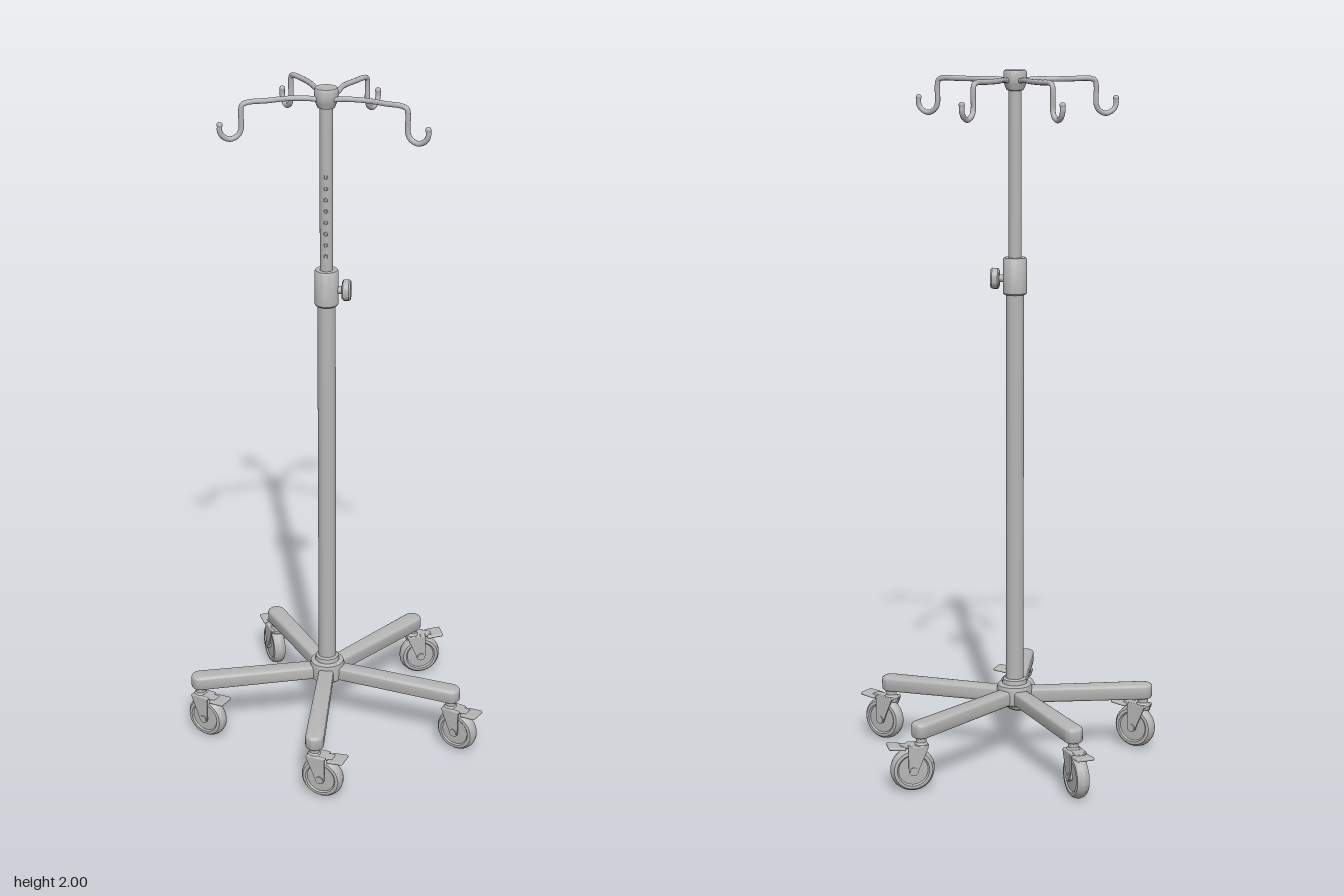
import * as THREE from 'three';
import { toCreasedNormals } from 'three/addons/utils/BufferGeometryUtils.js';
import { RoundedBoxGeometry } from 'three/addons/geometries/RoundedBoxGeometry.js';

const grey = new THREE.MeshStandardMaterial({ color: 0xb6b6b6 });
grey.name = 'satin grey';

const CX = -0.027, CZ = -0.025; // pole axis

function add(parent, name, geometry, x = 0, y = 0, z = 0) {
  const mesh = new THREE.Mesh(geometry, grey);
  mesh.name = name;
  mesh.position.set(x, y, z);
  parent.add(mesh);
  return mesh;
}

// Turned part with crisp edges from [radius, height] pairs
function turned(points, segments = 32) {
  const profile = points.map(([r, y]) => new THREE.Vector2(r, y));
  return toCreasedNormals(new THREE.LatheGeometry(profile, segments), 0.6);
}

// Tapering base leg along +x with a rounded end, dipping slightly outwards
function legGeometry(length) {
  const bevel = 0.01, a = 0.022 - bevel, b = 0.027 - bevel;
  const shape = new THREE.Shape();
  shape.moveTo(0, -a);
  shape.lineTo(length, -b);
  shape.absarc(length, 0, b, -Math.PI / 2, Math.PI / 2, false);
  shape.lineTo(0, a);
  shape.closePath();
  const g = new THREE.ExtrudeGeometry(shape, {
    depth: 0.025, bevelThickness: bevel, bevelSize: bevel, bevelSegments: 4, curveSegments: 16,
  });
  g.rotateX(-Math.PI / 2);
  const p = g.attributes.position;
  for (let i = 0; i < p.count; i++) {
    const t = p.getX(i) / length;
    p.setY(i, p.getY(i) + 0.172 - 0.007 * t);
  }
  return toCreasedNormals(g, 0.7);
}

// Swivel caster: pin at the origin, wheel and brake pedal trailing towards +x
function caster() {
  const group = new THREE.Group();
  group.name = 'caster';
  const wx = 0.025, wy = 0.064;

  const tyre = turned([
    [0.008, -0.015], [0.042, -0.015], [0.046, -0.019], [0.055, -0.018], [0.061, -0.011],
    [0.0635, 0], [0.061, 0.011], [0.055, 0.018], [0.046, 0.019], [0.042, 0.015], [0.008, 0.015],
  ]);
  add(group, 'wheel', tyre, wx, wy).rotation.x = Math.PI / 2;
  add(group, 'axle', new THREE.CylinderGeometry(0.011, 0.011, 0.056, 16), wx, wy).rotation.x = Math.PI / 2;
  add(group, 'swivelStem', turned([[0, 0.12], [0.02, 0.12], [0.022, 0.132], [0.015, 0.142], [0.015, 0.17]], 20));

  // Fork cheeks tapering from the swivel to the axle
  const cheek = new THREE.Shape();
  cheek.moveTo(-0.018, 0.132);
  cheek.lineTo(0.04, 0.132);
  cheek.lineTo(wx + 0.014, wy);
  cheek.absarc(wx, wy, 0.014, 0, -Math.PI, true);
  cheek.closePath();
  for (const z of [-0.025, 0.021]) {
    add(group, 'forkCheek', new THREE.ExtrudeGeometry(cheek, { depth: 0.004, bevelEnabled: false }), 0, 0, z);
  }
  add(group, 'forkCrown', new RoundedBoxGeometry(0.058, 0.008, 0.05, 2, 0.003), 0.011, 0.132);

  // Brake pedal
  add(group, 'pedalArm', new RoundedBoxGeometry(0.05, 0.01, 0.028, 2, 0.003), 0.035, 0.132);
  add(group, 'brakePedal', new RoundedBoxGeometry(0.05, 0.009, 0.052, 2, 0.004), 0.071, 0.131).rotation.z = 0.1;
  return group;
}

// Bent wire arm ending in a J-shaped hook; plan points are [x, z]
function hookGeometry(plan, drop, tip) {
  const top = 1.974;
  const pts = plan.map(([x, z], i) => new THREE.Vector3(x, i ? top : 1.968, z));
  const at = (t, y) => pts.push(new THREE.Vector3(
    drop[0] + (tip[0] - drop[0]) * t, y, drop[1] + (tip[1] - drop[1]) * t));
  const hook = [[-0.3, top], [-0.06, 1.968], [0, 1.95], [0, 1.902], [0.15, 1.885],
    [0.5, 1.876], [0.85, 1.885], [1, 1.9], [1, 1.918]];
  hook.forEach(([t, y]) => at(t, y));
  const curve = new THREE.CatmullRomCurve3(pts, false, 'centripetal');
  return { tube: new THREE.TubeGeometry(curve, 90, 0.0075, 10), end: pts[pts.length - 1] };
}

export function createModel() {
  const model = new THREE.Group();
  model.name = 'wheeledDripStand';

  // Base: [leg end x, z, caster heading x, z]
  const legs = [
    [-0.028, 0.368, 0.94, 0.3],
    [0.352, 0.078, 0.88, 0.47],
    [0.212, -0.342, 0.95, -0.28],
    [-0.217, -0.348, -0.42, -0.9],
    [-0.402, 0.066, 0.88, 0.47],
  ];
  for (const [x, z, hx, hz] of legs) {
    const dx = x - CX, dz = z - CZ;
    add(model, 'baseLeg', legGeometry(Math.hypot(dx, dz)), CX, 0, CZ).rotation.y = -Math.atan2(dz, dx);
    const wheel = caster();
    wheel.position.set(x, 0, z);
    wheel.rotation.y = -Math.atan2(hz, hx);
    model.add(wheel);
  }
  add(model, 'baseHub', turned([
    [0, 0.158], [0.044, 0.158], [0.05, 0.164], [0.052, 0.205], [0.049, 0.217],
    [0.036, 0.221], [0.034, 0.234], [0.024, 0.238],
  ]), CX, 0, CZ);

  // Telescopic pole
  add(model, 'lowerPole', new THREE.CylinderGeometry(0.026, 0.026, 1.16, 32), CX, 0.79, CZ);
  add(model, 'upperPole', new THREE.CylinderGeometry(0.0185, 0.0185, 0.53, 28), CX, 1.715, CZ);
  add(model, 'heightCollar', turned([
    [0.025, 1.37], [0.031, 1.37], [0.034, 1.374], [0.034, 1.47], [0.031, 1.475], [0.018, 1.475],
  ]), CX, 0, CZ);

  // Height marks on the front of the upper pole
  for (let i = 0; i < 8; i++) {
    const mark = new THREE.TorusGeometry(0.005, 0.0012, 6, 14);
    add(model, 'poleHoleRim', mark, CX, 1.52 + i * 0.033, CZ + 0.0185);
  }

  // Clamp knob on the left of the collar
  add(model, 'knobShaft', new THREE.CylinderGeometry(0.011, 0.011, 0.04, 16), CX + 0.04, 1.415, CZ).rotation.z = Math.PI / 2;
  const knob = turned([[0, 0], [0.024, 0], [0.03, 0.004], [0.03, 0.02], [0.026, 0.025], [0, 0.025]], 20);
  add(model, 'clampKnob', knob, CX + 0.044, 1.415, CZ).rotation.z = -Math.PI / 2;

  // Head carrying the hooks
  add(model, 'hookHead', turned([
    [0.018, 1.943], [0.024, 1.945], [0.031, 1.962], [0.033, 1.97], [0.033, 1.995], [0.03, 2], [0, 2],
  ]), CX, 0, CZ);

  // Hooks: plan of the arm, then drop point and tip
  const hooks = [
    [[[CX, -0.012], [0.03, -0.005], [0.085, 0.003], [0.14, 0.028]], [0.2, 0.052], [0.256, 0.074]],
    [[[CX, -0.012], [-0.08, -0.005], [-0.135, 0.003], [-0.18, 0.025]], [-0.25, 0.054], [-0.305, 0.077]],
    [[[-0.015, CZ], [0.0, -0.07], [0.012, -0.135], [0.04, -0.185]], [0.07, -0.235], [0.096, -0.288]],
    [[[-0.035, CZ], [-0.055, -0.08], [-0.082, -0.15], [-0.11, -0.195]], [-0.146, -0.24], [-0.175, -0.283]],
  ];
  for (const [plan, drop, tip] of hooks) {
    const { tube, end } = hookGeometry(plan, drop, tip);
    add(model, 'hookArm', tube);
    add(model, 'hookTip', new THREE.SphereGeometry(0.0085, 12, 8), end.x, end.y, end.z);
  }
  return model;
}
